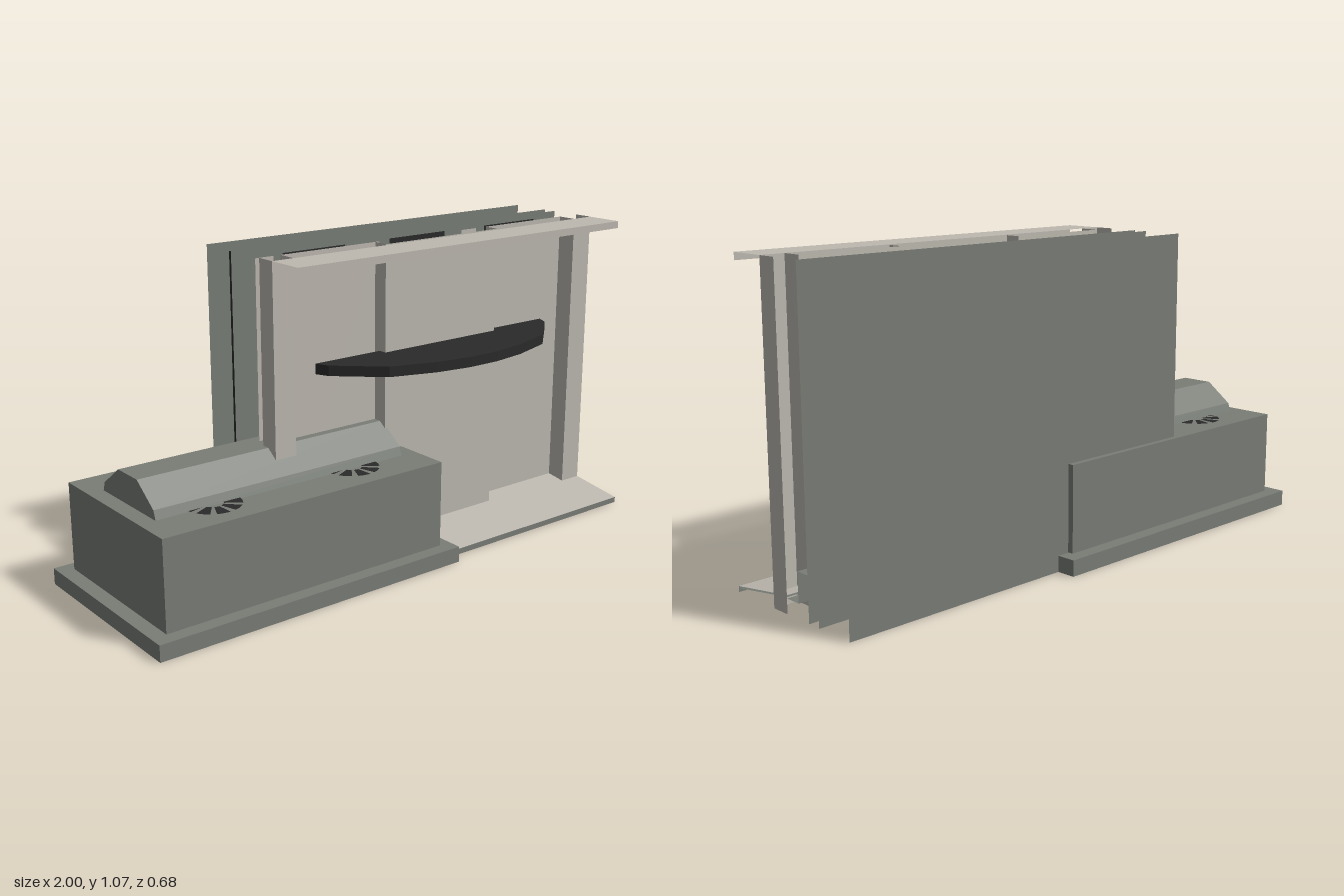
import * as THREE from 'three';

const mat = (name, color) => new THREE.MeshStandardMaterial({ name, color, side: THREE.DoubleSide });

export function createModel() {
  const model = new THREE.Group();
  model.name = 'model';
  const stone = mat('greyGreen', 0x797d76);
  const light = mat('warmGrey', 0xbdb9b0);
  const dark = mat('charcoal', 0x2a2a2a);
  const gold = mat('dullGold', 0x8f7d55);

  const add = (name, geometry, material) => {
    const mesh = new THREE.Mesh(geometry, material);
    mesh.name = name;
    model.add(mesh);
    return mesh;
  };
  // Box given by its minimum and maximum on each axis
  const box = (name, material, x0, x1, y0, y1, z0, z1) => add(name,
    new THREE.BoxGeometry(x1 - x0, y1 - y0, z1 - z0)
      .translate((x0 + x1) / 2, (y0 + y1) / 2, (z0 + z1) / 2), material);
  // Open folded sheet: sweeps a polyline from a to b through the mapping
  const sheet = (name, material, points, a, b, map) => {
    const positions = [];
    for (let i = 0; i + 1 < points.length; i++) {
      const [p, q] = [points[i], points[i + 1]];
      const [A, B, C, D] = [map(p, a), map(q, a), map(q, b), map(p, b)];
      positions.push(...A, ...B, ...C, ...A, ...C, ...D);
    }
    const geometry = new THREE.BufferGeometry();
    geometry.setAttribute('position', new THREE.Float32BufferAttribute(positions, 3));
    geometry.computeVertexNormals();
    return add(name, geometry, material);
  };
  const upright = ([x, z], y) => [x, y, z];
  const alongX = ([z, y], x) => [x, y, z];
  // Corners of a closed rectangle on the ground
  const ring = (x0, x1, z0, z1) => [[x0, z1], [x1, z1], [x1, z0], [x0, z0], [x0, z1]];

  // Low block on a plinth that is open underneath
  sheet('plinthSides', stone, ring(-1, 0.157, -0.342, 0.342), 0, 0.055, upright);
  sheet('plinthTop', stone, [[0.342, 0.055], [-0.342, 0.055]], -1, 0.157, alongX);
  box('block', stone, -0.95, 0.112, 0.056, 0.355, -0.295, 0.295);
  const lid = new THREE.Shape([[-0.162, 0.355], [-0.152, 0.385], [-0.058, 0.454],
    [0.058, 0.454], [0.152, 0.385], [0.162, 0.355]].map(([z, y]) => new THREE.Vector2(-z, y)));
  add('lid', new THREE.ExtrudeGeometry(lid, { depth: 0.945, bevelEnabled: false })
    .rotateY(Math.PI / 2).translate(-0.895, 0, 0), stone);

  // Frames under the plinth
  for (const x of [-0.725, -0.19]) {
    sheet('underFrame', light, ring(x - 0.17, x + 0.17, -0.17, 0.03), 0.005, 0.055, upright);
  }

  // Round vents half covered by the lid
  for (const x of [-0.69, -0.155]) for (const z of [-0.15, 0.15]) {
    for (let i = 0; i < 9; i++) {
      const step = Math.PI * 2 / 9;
      const blade = new THREE.RingGeometry(0.034, 0.093, 4, 1, i * step + 0.11, step - 0.22);
      add('ventSlot', blade.rotateX(-Math.PI / 2).translate(x, 0.358, z), dark);
    }
  }

  // Folded front wall with posts at its ends and a raised middle bay
  sheet('frontWall', light, [[-0.42, 0.03], [-0.42, 0.1], [-0.34, 0.1], [-0.34, 0.03], [0.04, 0.03],
    [0.04, 0.085], [0.54, 0.085], [0.54, 0.03], [0.915, 0.03], [0.915, 0.1], [1, 0.1], [1, 0.03]],
  0, 1.065, upright);
  sheet('canopy', light, [[0.1, 1.065], [0.235, 1.065], [0.235, 1.04]], -0.42, 1, alongX);
  sheet('slopedFloor', light, [[0.03, 0.06], [0.295, 0.02]], 0.157, 1, alongX);
  sheet('floorUnderside', stone, [[0.03, 0.054], [0.293, 0.014]], 0.157, 1, alongX);
  sheet('floorLip', stone, [[0.295, 0.02], [0.295, 0]], 0.157, 1, alongX);
  sheet('rearSill', stone, [[0.03, 0.05], [-0.03, 0.05], [-0.03, 0.15], [-0.078, 0.15]], 0.157, 1, alongX);

  // Curved shelf
  const half = [[0.515, 0.055], [0.495, 0.1], [0.35, 0.232], [0.19, 0.283], [0.06, 0.303]];
  const outline = [...half, ...half.slice().reverse().map(([x, z]) => [-x, z])];
  const shelf = new THREE.Shape(outline.map(([x, z]) => new THREE.Vector2(x + 0.287, -z)));
  add('shelf', new THREE.ExtrudeGeometry(shelf, { depth: 0.035, bevelEnabled: false })
    .rotateX(-Math.PI / 2).translate(0, 0.665, 0), dark);

  // Flat dark grilles and narrow columns behind the wall bays
  for (const x of [-0.16, 0.28, 0.72]) {
    sheet('grille', dark, [[x - 0.125, -0.037], [x + 0.125, -0.037]], 0.03, 1.055, upright);
  }
  for (const x of [-0.37, 0.06, 0.5, 0.9]) {
    sheet('rearColumn', light, [[x - 0.035, -0.015], [x + 0.035, -0.015]], 0.03, 1.055, upright);
  }
  box('lowPanel', dark, 0.1, 0.47, 0.02, 0.652, -0.031, -0.019);

  // Layered rear sheets
  for (const z of [-0.08, -0.13, -0.275]) {
    sheet('rearSheet', stone, [[-0.42, z], [1, z]], 0, 1.065, upright);
  }

  // Gold-faced panel with flat vertical bars between the rear sheets
  box('backPanel', dark, -0.34, 0.91, 0.162, 1.035, -0.267, -0.256);
  sheet('goldFace', gold, [[-0.34, -0.25], [0.922, -0.25]], 0.162, 1.038, upright);
  for (let i = 0; i < 6; i++) {
    const x = -0.155 + i * 0.178;
    sheet('panelBar', dark, [[x - 0.01, -0.244], [x + 0.01, -0.244]], 0.18, 1.035, upright);
  }
  return model;
}
